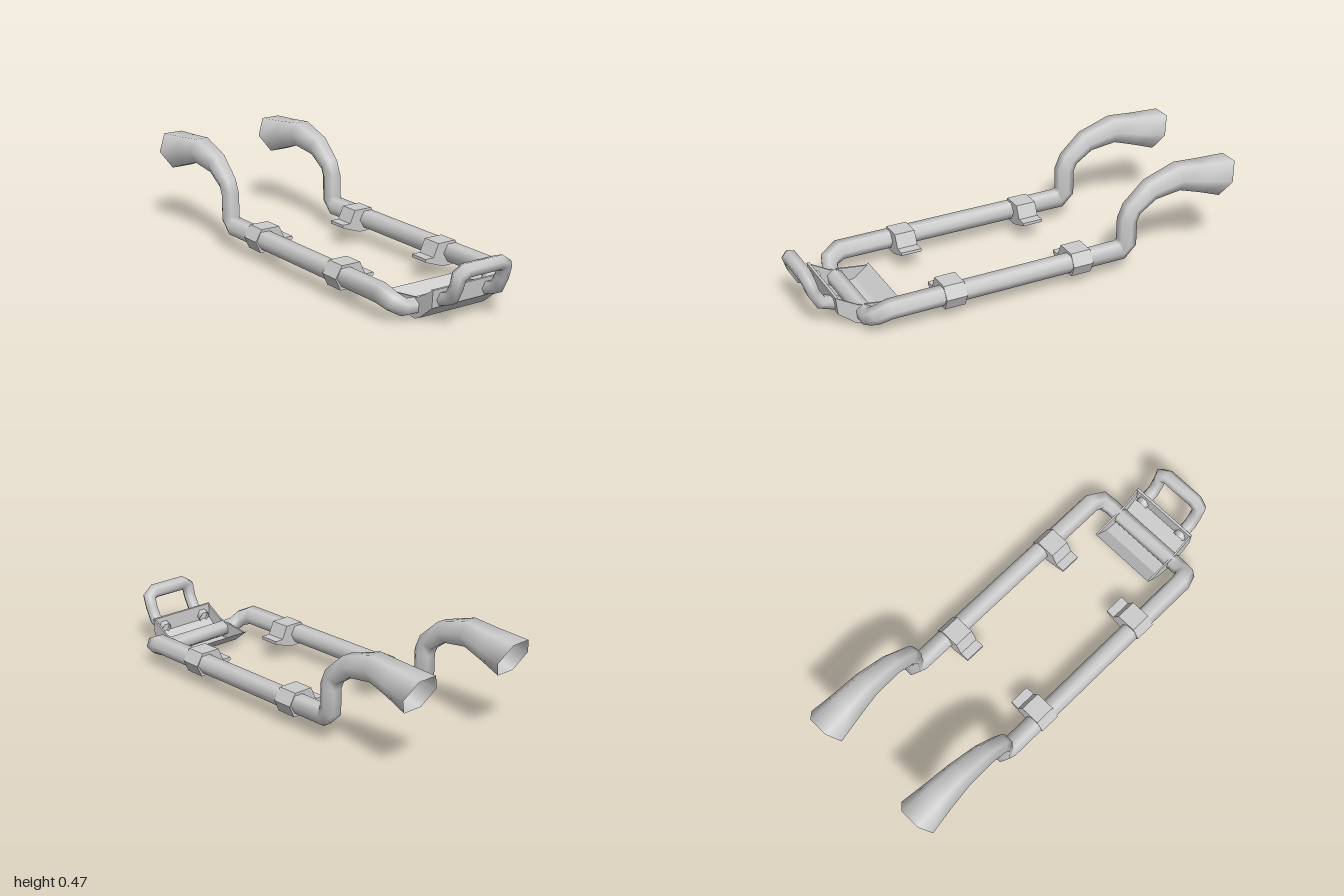
import * as THREE from 'three';

const material = new THREE.MeshStandardMaterial({ color: 0xcccccc, side: THREE.DoubleSide });
const SIDES = 6;

// Mitred hexagonal tube through points [x, y, z, radius]; optional end-cut normals
function sweep(points, startCut, endCut) {
  const p = points.map(a => new THREE.Vector3(a[0], a[1], a[2]));
  const dirs = p.slice(1).map((q, i) => q.clone().sub(p[i]).normalize());
  const last = p.length - 1;
  const u = new THREE.Vector3(0, 0, 1);
  const v = dirs[0].clone().cross(u).normalize();
  let ring = Array.from({ length: SIDES }, (_, j) => {
    const a = (j / SIDES) * Math.PI * 2;
    return u.clone().multiplyScalar(Math.cos(a)).addScaledVector(v, Math.sin(a));
  });
  const pos = [], index = [];
  p.forEach((c, i) => {
    const d = dirs[Math.max(i - 1, 0)];
    let n = d.clone().add(dirs[Math.min(i, last - 1)]).normalize();
    if (i === 0 && startCut) n = startCut;
    if (i === last && endCut) n = endCut;
    // slide the cross-section along the segment onto the mitre plane
    ring = ring.map(o => o.clone().addScaledVector(d, -o.dot(n) / d.dot(n)));
    ring.forEach((o, j) => {
      pos.push(...c.clone().addScaledVector(o, points[i][3]).toArray());
      if (i === last) return;
      const k = (j + 1) % SIDES, a = i * SIDES;
      index.push(a + j, a + k, a + SIDES + j, a + k, a + SIDES + k, a + SIDES + j);
    });
  });
  const g = new THREE.BufferGeometry();
  g.setAttribute('position', new THREE.Float32BufferAttribute(pos, 3));
  g.setIndex(index);
  g.computeVertexNormals();
  return g;
}

// Complete a half path with its mirror image across z = 0
const mirrored = half => [...half, ...half.slice().reverse().map(([x, y, z, r]) => [x, y, -z, r])];

// Flat profile extruded by a depth, centred on its plane
function plate(profile, depth) {
  const shape = new THREE.Shape(profile.map(([x, y]) => new THREE.Vector2(x, y)));
  return new THREE.ExtrudeGeometry(shape, { depth, bevelEnabled: false }).translate(0, 0, -depth / 2);
}

export function createModel() {
  const model = new THREE.Group();
  const add = (name, geometry, x = 0, y = 0, z = 0) => {
    const mesh = new THREE.Mesh(geometry, material);
    mesh.name = name;
    mesh.position.set(x, y, z);
    model.add(mesh);
  };

  // Flared rear pipes, side rails and front crossbar in one continuous tube
  const railHalf = [
    [-0.965, 0.367, 0.28, 0.095],
    [-0.84, 0.39, 0.281, 0.077],
    [-0.725, 0.412, 0.283, 0.064],
    [-0.585, 0.378, 0.284, 0.052],
    [-0.495, 0.305, 0.284, 0.045],
    [-0.474, 0.255, 0.284, 0.045],
    [-0.474, 0.145, 0.284, 0.045],
    [-0.44, 0.112, 0.284, 0.045],
    [0.67, 0.112, 0.284, 0.045],
    [0.725, 0.087, 0.266, 0.042],
    [0.742, 0.057, 0.22, 0.038],
    [0.742, 0.055, 0.17, 0.038],
  ];
  const cut = new THREE.Vector3(0.9, 0.43, 0).normalize();
  add('sideRailsAndCrossbar', sweep(mirrored(railHalf), cut, cut.clone().setX(-cut.x).setY(-cut.y)));

  // Clamps around the rails, with tabs pointing inward
  const clamp = [
    [0.335, 0.11], [0.302, 0.163], [0.21, 0.163], [0.183, 0.104],
    [0.14, 0.104], [0.14, 0.09], [0.235, 0.056], [0.31, 0.056],
  ];
  for (const side of [1, -1]) {
    for (const x of [-0.23, 0.383]) {
      const g = plate(clamp.map(([z, y]) => [-side * z, y]), 0.096);
      add('railClamp', g.rotateY(Math.PI / 2), x);
    }
  }

  // Bent skid plate and its side walls
  const bend = [[0.588, 0.072], [0.66, 0.016], [0.75, 0], [0.78, 0.012], [0.858, 0.075], [0.865, 0.153]];
  const inner = bend.map(([x, y]) => [x - 0.008, y + 0.008]).reverse();
  inner[0] = [0.853, 0.153];
  add('skidPlate', plate([...bend, ...inner], 0.338));
  for (const side of [1, -1]) {
    add('skidPlateSide', plate([...bend, [0.765, 0.095]], 0.008), 0, 0, side * 0.166);
  }

  // Front hoop, its feet passing through the skid plate
  const hoopHalf = [
    [0.835, 0.098, 0.118, 0.03],
    [0.915, 0.126, 0.118, 0.03],
    [0.945, 0.18, 0.118, 0.03],
    [0.959, 0.228, 0.118, 0.031],
    [0.964, 0.249, 0.085, 0.033],
  ];
  add('frontHoop', sweep(mirrored(hoopHalf)));
  return model;
}
